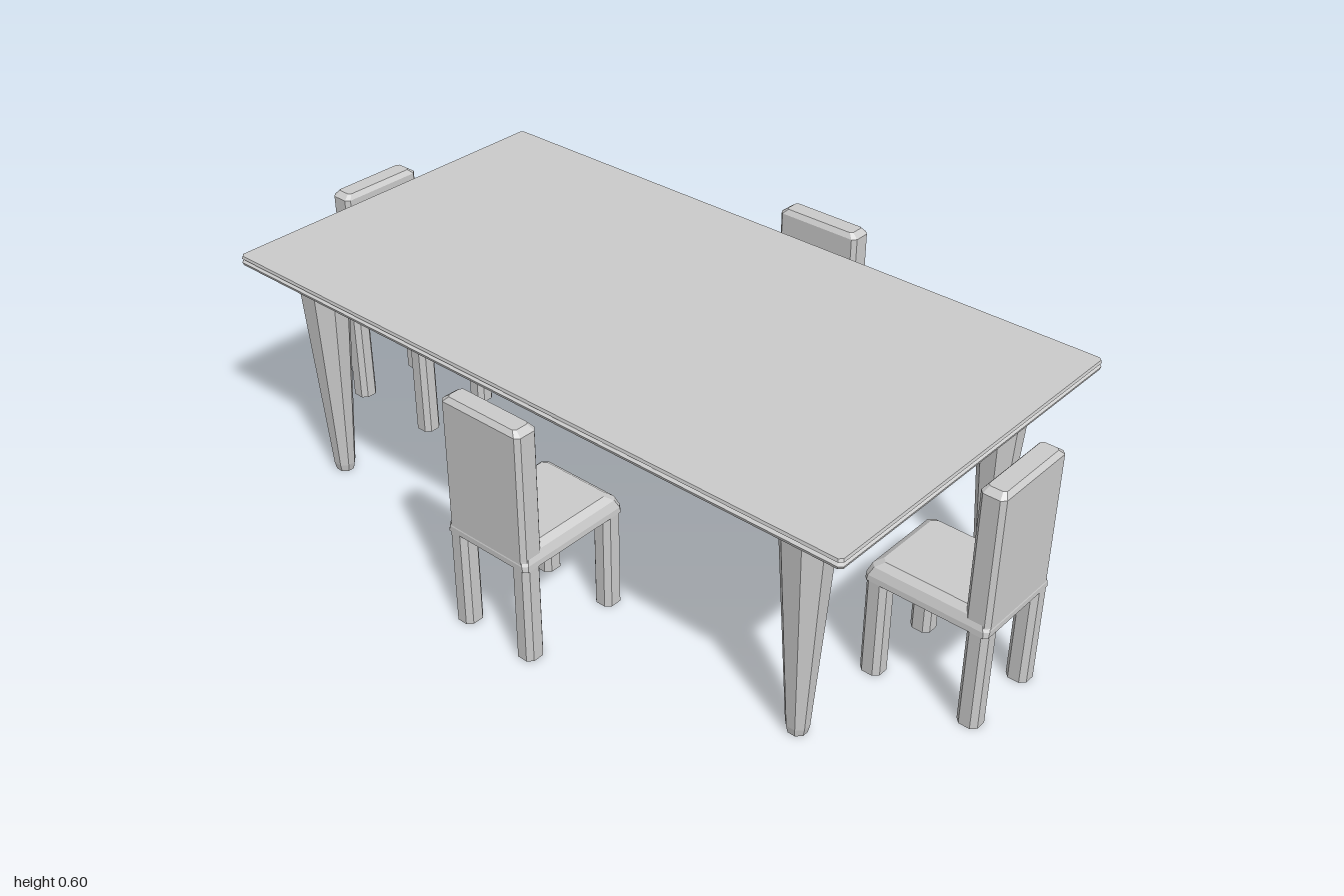
import * as THREE from 'three';

const material = new THREE.MeshStandardMaterial({ color: 0xcccccc, flatShading: true });

// Stacks rectangles with cut corners; each ring is [y, halfWidth, halfDepth, cornerCut]
function loft(name, rings, x = 0, z = 0) {
  const positions = [], index = [], n = 8;
  for (const [y, w, d, c] of rings) {
    const outline = [[w, -d + c], [w, d - c], [w - c, d], [-w + c, d],
      [-w, d - c], [-w, -d + c], [-w + c, -d], [w - c, -d]];
    for (const [px, pz] of outline) positions.push(px, y, pz);
  }
  for (let r = 0; r < rings.length - 1; r++) {
    for (let i = 0; i < n; i++) {
      const a = r * n + i, b = r * n + (i + 1) % n;
      index.push(a, a + n, b, b, a + n, b + n);
    }
  }
  const top = (rings.length - 1) * n;
  for (let i = 1; i < n - 1; i++) {
    index.push(0, i, i + 1, top, top + i + 1, top + i);
  }
  const geometry = new THREE.BufferGeometry();
  geometry.setAttribute('position', new THREE.Float32BufferAttribute(positions, 3));
  geometry.setIndex(index);
  geometry.computeVertexNormals();
  const mesh = new THREE.Mesh(geometry, material);
  mesh.name = name;
  mesh.position.set(x, 0, z);
  return mesh;
}

function createTable() {
  const table = new THREE.Group();
  table.name = 'table';
  // Thin top with a shallow groove around its edge
  table.add(loft('tableTop', [
    [0.572, 0.888, 0.471, 0.008],
    [0.579, 0.89, 0.473, 0.008],
    [0.584, 0.882, 0.465, 0.008],
    [0.589, 0.89, 0.473, 0.008],
    [0.596, 0.888, 0.471, 0.008],
  ], -0.015, 0.018));
  // Tapered octagonal legs
  const ring = (y, r) => [y, r, r * 0.93, r * 0.56];
  for (const x of [-0.74, 0.714]) {
    for (const z of [-0.335, 0.377]) {
      table.add(loft('tableLeg', [
        ring(0, 0.022), ring(0.02, 0.026), ring(0.54, 0.059), ring(0.575, 0.053),
      ], x, z));
    }
  }
  return table;
}

// Chair centred on its seat, with the backrest towards +z
function createChair(name, x, z, turn) {
  const chair = new THREE.Group();
  chair.name = name;
  chair.add(loft('seat', [
    [0.25, 0.122, 0.153, 0.008],
    [0.264, 0.121, 0.153, 0.01],
    [0.284, 0.113, 0.146, 0.012],
    [0.297, 0.098, 0.128, 0.012],
  ]));
  chair.add(loft('backrest', [
    [0.251, 0.119, 0.03, 0.01],
    [0.275, 0.116, 0.03, 0.01],
    [0.59, 0.116, 0.03, 0.01],
    [0.602, 0.1, 0.021, 0.006],
  ], 0, 0.122));
  for (const lx of [-0.096, 0.096]) {
    for (const lz of [-0.126, 0.126]) {
      chair.add(loft('chairLeg', [[0, 0.025, 0.026, 0.012], [0.255, 0.025, 0.026, 0.012]], lx, lz));
    }
  }
  chair.position.set(x, 0, z);
  chair.rotation.y = turn;
  return chair;
}

export function createModel() {
  const model = new THREE.Group();
  model.name = 'diningSet';
  model.add(
    createTable(),
    createChair('frontChair', 0.027, 0.45, 0),
    createChair('backChair', 0.027, -0.452, Math.PI),
    createChair('leftChair', 0.845, 0.016, Math.PI / 2),
    createChair('rightChair', -0.845, 0.016, -Math.PI / 2),
  );
  return model;
}
